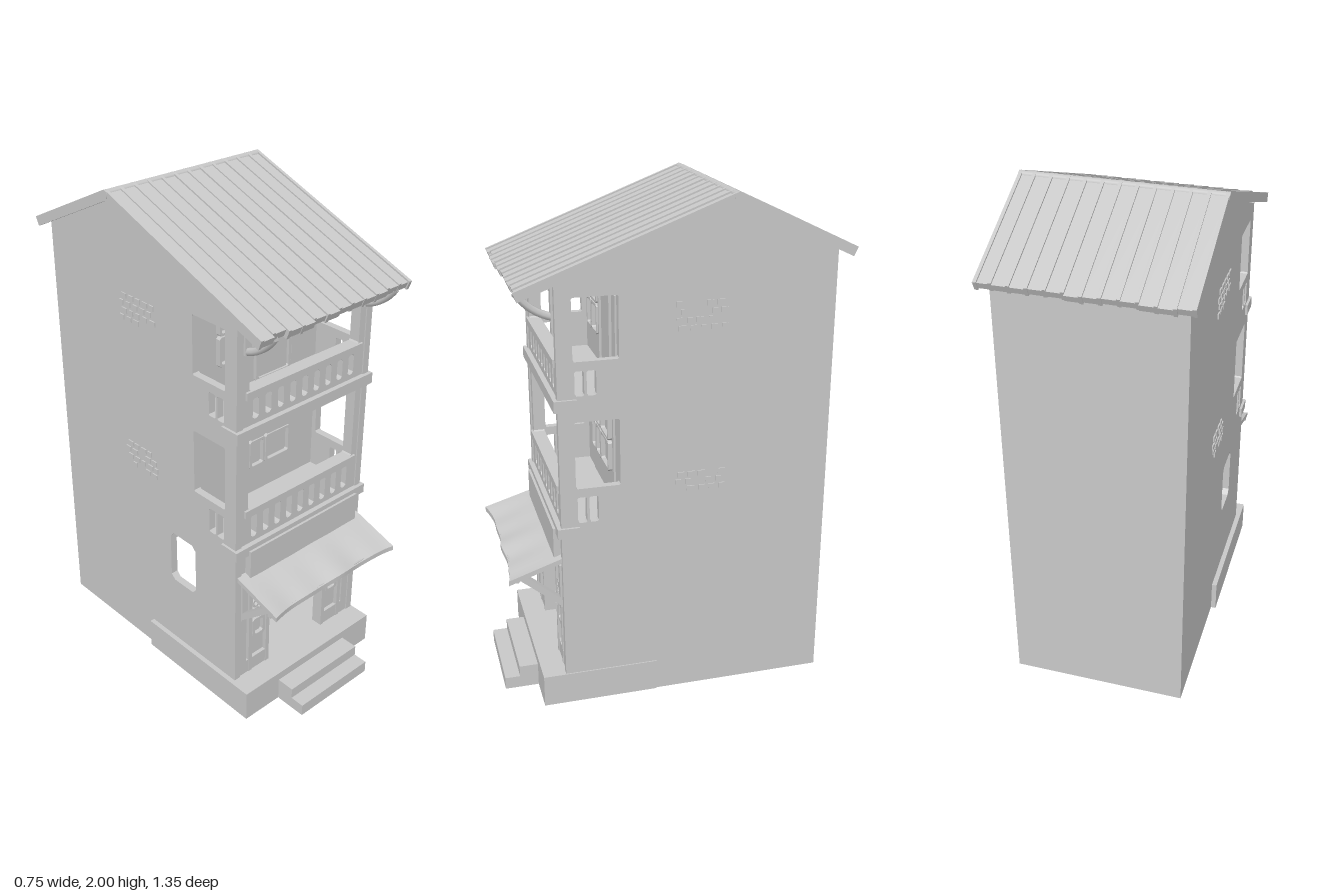
import * as THREE from 'three';

export function createModel() {
  const model = new THREE.Group();
  model.name = 'townhouse';
  const plaster = new THREE.MeshStandardMaterial({ color: 0xc8c8c8, side: THREE.DoubleSide });
  plaster.name = 'plasterGrey';

  let seed = 7;
  const rand = () => (seed = (seed * 16807) % 2147483647) / 2147483647;

  const add = (name, geometry, parent = model) => {
    const mesh = new THREE.Mesh(geometry, plaster);
    mesh.name = name;
    parent.add(mesh);
    return mesh;
  };
  // Box given by its limits on each axis
  const block = (name, x0, x1, y0, y1, z0, z1, parent) => {
    const m = add(name, new THREE.BoxGeometry(x1 - x0, y1 - y0, z1 - z0), parent);
    m.position.set((x0 + x1) / 2, (y0 + y1) / 2, (z0 + z1) / 2);
    return m;
  };
  // Sloping bar between two (z, y) points
  const bar = (name, x, width, thick, [z0, y0], [z1, y1], parent) => {
    const m = add(name, new THREE.BoxGeometry(width, thick, Math.hypot(z1 - z0, y1 - y0)), parent);
    m.position.set(x, (y0 + y1) / 2, (z0 + z1) / 2);
    m.rotation.x = -Math.atan2(y1 - y0, z1 - z0);
    return m;
  };
  const outline = (pts, Type = THREE.Shape) => new Type(pts.map(p => new THREE.Vector2(...p)));
  // Rectangle with cut corners
  const rect = (x0, x1, y0, y1, c = 0.005, Type = THREE.Path) => outline([
    [x0 + c, y0], [x1 - c, y0], [x1, y0 + c], [x1, y1 - c],
    [x1 - c, y1], [x0 + c, y1], [x0, y1 - c], [x0, y0 + c]], Type);
  const extrude = (shape, depth) => new THREE.ExtrudeGeometry(shape, { depth, bevelEnabled: false });
  const frame = (name, x0, x1, y0, y1, z, w = 0.01, d = 0.012) => {
    const s = rect(x0, x1, y0, y1, 0.008, THREE.Shape);
    s.holes.push(rect(x0 + w, x1 - w, y0 + w, y1 - w, 0.006));
    add(name, extrude(s, d)).position.z = z;
  };

  const W = 0.345, T = 0.03;

  // Side walls with balcony openings
  for (const side of [-1, 1]) {
    const wall = outline([[-0.61, 0], [0.45, 0], [0.45, 1.7], [-0.21, 1.965], [-0.61, 1.775]]);
    wall.holes.push(rect(0.22, 0.39, 0.925, 1.19), rect(0.22, 0.39, 1.42, 1.655));
    for (const [y0, y1] of [[0.785, 0.89], [1.29, 1.385]])
      for (const z of [0.305, 0.35]) wall.holes.push(rect(z, z + 0.035, y0, y1));
    if (side < 0) wall.holes.push(rect(0.07, 0.22, 0.43, 0.66, 0.02));
    const m = add(side < 0 ? 'rightWall' : 'leftWall', extrude(wall, T).rotateY(-Math.PI / 2));
    m.position.x = side < 0 ? -W + T : W;

    // Exposed brick patches
    const bricks = new THREE.Group();
    bricks.name = 'exposedBricks';
    model.add(bricks);
    for (const yc of [0.93, 1.565])
      for (let row = 0; row < 4; row++)
        for (let i = 0; i < 5; i++) {
          if (rand() < 0.3) continue;
          const z = -0.19 + i * 0.04 + (row % 2) * 0.015, y = yc - 0.06 + row * 0.03;
          block('brick', side * W - 0.005, side * W + 0.005, y, y + 0.02, z, z + 0.02 + rand() * 0.012, bricks);
        }
  }
  block('backWall', -W, W, 0, 1.77, -0.61, -0.59);

  // Front wall with shop opening, balcony openings and baluster slots
  const facade = outline([[-W, 0.1], [W, 0.1], [W, 1.7], [-W, 1.7]]);
  facade.holes.push(rect(-0.28, 0.28, 0.13, 0.56), rect(-0.28, 0.285, 0.925, 1.235), rect(-0.28, 0.285, 1.42, 1.65));
  for (const [y0, y1] of [[0.79, 0.89], [1.3, 1.385]])
    for (let i = 0; i < 9; i++) {
      const x = -0.248 + i * 0.062;
      facade.holes.push(rect(x - 0.015, x + 0.015, y0, y1, 0.009));
    }
  add('frontWall', extrude(facade, 0.045)).position.z = 0.4;

  // Floors, balcony back wall and projecting ledges
  block('secondFloor', -0.33, 0.33, 0.73, 0.77, -0.6, 0.44);
  block('thirdFloor', -0.33, 0.33, 1.24, 1.275, 0.18, 0.44);
  block('balconyBackWall', -0.33, 0.33, 0.75, 1.78, 0.18, 0.2);
  for (const [y0, y1] of [[0.73, 0.77], [1.235, 1.28]])
    block('ledge', -0.355, 0.355, y0, y1, 0.38, 0.465);
  for (const y of [0.895, 1.39])
    block('handrail', -0.3, 0.3, y, y + 0.03, 0.4, 0.455);

  // Balcony windows and door
  block('windowPanel', -0.17, 0.18, 0.78, 1.15, 0.2, 0.208);
  for (const [x0, x1] of [[-0.14, -0.065], [-0.06, 0.02], [0.025, 0.16]]) {
    frame('windowPane', x0, x1, 1.03, 1.135, 0.205, 0.01, 0.02);
    frame('windowPane', x0, x1, 0.9, 1.025, 0.205, 0.01, 0.02);
  }
  for (const [x0, x1] of [[-0.215, -0.135], [-0.13, -0.035]]) {
    frame('upperWindowPane', x0, x1, 1.525, 1.63, 0.2, 0.01, 0.02);
    frame('upperWindowPane', x0, x1, 1.4, 1.52, 0.2, 0.01, 0.02);
  }
  frame('balconyDoorFrame', -0.025, 0.16, 1.275, 1.625, 0.2, 0.012, 0.015);
  block('balconyDoor', -0.01, 0.145, 1.275, 1.61, 0.2, 0.206);
  block('doorSidelight', 0.17, 0.225, 1.3, 1.62, 0.2, 0.207);

  // Shop front: side panels with small windows
  for (const s of [-1, 1]) {
    const span = (a, b) => (s < 0 ? [-b, -a] : [a, b]);
    block('shopPanel', ...span(0.155, 0.29), 0.13, 0.56, 0.4, 0.43);
    for (const x of [0.155, 0.25]) block('shopPilaster', ...span(x, x + 0.018), 0.13, 0.56, 0.42, 0.448);
    block('shopSill', ...span(0.155, 0.28), 0.13, 0.19, 0.42, 0.445);
    frame('shopPanelWindow', ...span(0.178, 0.245), 0.29, 0.38, 0.428, 0.012, 0.018);
    for (const x of [0.178, 0.213])
      for (const y of [0.4, 0.44])
        frame('shopSmallPane', ...span(x, x + 0.032), y, y + 0.037, 0.428, 0.007, 0.018);
  }
  block('counter', -0.29, -0.06, 0.13, 0.27, 0.12, 0.3);
  block('counterTop', -0.3, -0.055, 0.265, 0.28, 0.11, 0.31);

  // Plinth and steps
  block('plinth', -0.365, 0.35, 0, 0.13, 0.08, 0.54);
  block('plinthReturn', -0.365, -0.33, 0, 0.13, -0.06, 0.08);
  block('upperStep', -0.185, 0.195, 0, 0.095, 0.53, 0.615);
  block('lowerStep', -0.185, 0.195, 0, 0.05, 0.53, 0.675);

  // Sign board, cloth awning with wavy edge
  block('signBoard', -0.29, 0.3, 0.6, 0.75, 0.44, 0.475);
  const cloth = new THREE.BoxGeometry(0.67, 0.02, 0.21, 40, 1, 6);
  const p = cloth.attributes.position;
  for (let i = 0; i < p.count; i++) {
    const x = p.getX(i), t = p.getZ(i) / 0.21 + 0.5;
    const wave = Math.sin(x * 34) * 0.5 + Math.sin(x * 19 + 1) * 0.5;
    p.setXYZ(i, x, p.getY(i) + 0.63 - 0.07 * t + wave * 0.006 * t,
      0.445 + t * (0.195 + 0.016 * Math.pow(Math.abs(x) / 0.335, 6) + wave * 0.006));
  }
  cloth.computeVertexNormals();
  add('awning', cloth);
  block('awningPole', -0.335, 0.33, 0.555, 0.57, 0.615, 0.632);

  // Brackets under awning and roof
  for (const x of [-0.3, 0.305]) {
    bar('awningBracket', x, 0.03, 0.025, [0.44, 0.43], [0.6, 0.565]);
    block('awningBracketPost', x - 0.015, x + 0.015, 0.42, 0.6, 0.44, 0.458);
    const curve = new THREE.QuadraticBezierCurve3(new THREE.Vector3(x, 1.58, 0.445),
      new THREE.Vector3(x, 1.6, 0.53), new THREE.Vector3(x, 1.675, 0.58));
    add('roofBracket', new THREE.TubeGeometry(curve, 8, 0.015, 6));
    block('roofBracketPost', x - 0.015, x + 0.015, 1.57, 1.69, 0.44, 0.458);
  }

  // Corrugated roof: overlapping sheets with raised seams
  const slope = (name, ridge, eave) => {
    const roof = new THREE.Group();
    roof.name = name;
    model.add(roof);
    const n = 12, w = 0.75 / n;
    for (let i = 0; i < n; i++) {
      const k = 0.985 + rand() * 0.02, x = -0.375 + (i + 0.5) * w;
      const end = [ridge[0] + (eave[0] - ridge[0]) * k, ridge[1] + (eave[1] - ridge[1]) * k];
      bar('roofSheet', x, w, 0.024 + rand() * 0.004, ridge, end, roof);
      bar('roofSeam', x - w / 2 + 0.006, 0.013, 0.038, ridge, end, roof);
    }
    bar('roofSeam', 0.37, 0.013, 0.038, ridge, eave, roof);
  };
  slope('frontRoof', [-0.21, 1.98], [0.59, 1.675]);
  slope('backRoof', [-0.21, 1.98], [-0.665, 1.765]);
  const cap = add('ridgeCap', new THREE.CylinderGeometry(0.018, 0.018, 0.755, 8).rotateZ(Math.PI / 2));
  cap.position.set(0, 1.982, -0.21);

  return model;
}
